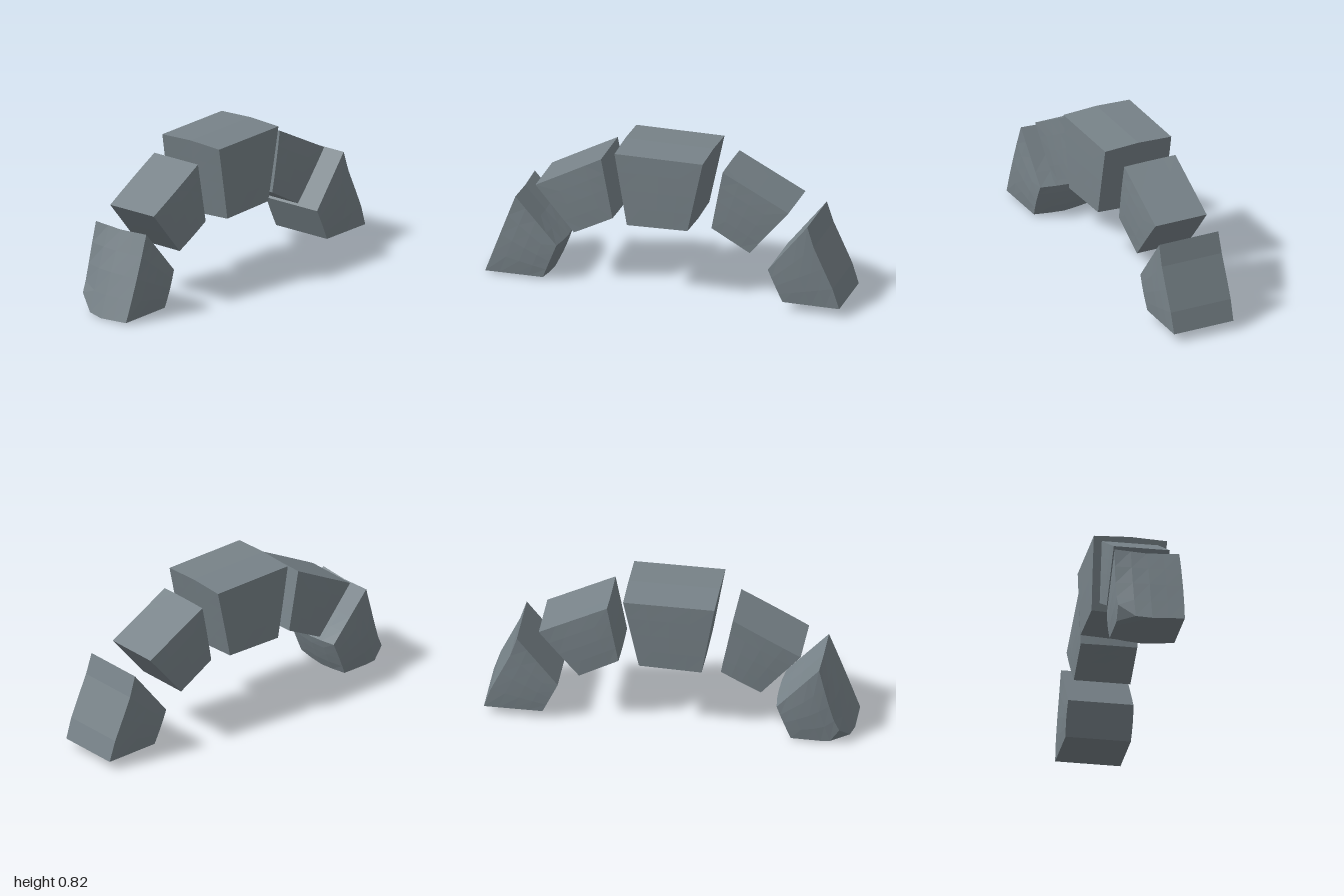
import * as THREE from 'three';

const material = new THREE.MeshStandardMaterial({ color: 0x778288, flatShading: true });

// Rough-hewn wedge. corners: [z, y] of topFront, bottomFront, bottomBack, topBack.
// x0..x1 is the width; shape swells, ridges or wears the faces.
function stone(name, corners, x0, x1, shape) {
  const [a, b, c, d] = corners;
  const { side = 0, top = 0, bottom = 0, front = 0, back = 0, bow = 0, chip = 0, lift = 0 } = shape;
  const geo = new THREE.BoxGeometry(2, 2, 2, 4, 4, 4);
  const pos = geo.attributes.position;
  const mix = THREE.MathUtils.lerp;
  for (let i = 0; i < pos.count; i++) {
    const u = pos.getX(i), v = pos.getY(i), w = pos.getZ(i);
    const s = (1 - v) / 2, t = (1 - w) / 2;
    const at = (k) => mix(mix(a[k], b[k], s), mix(d[k], c[k], s), t);
    const ridge = 1 - Math.abs(u), fu = 1 - u * u, fv = 1 - v * v, fw = 1 - w * w;
    const x = mix(x0, x1, (u + 1) / 2) + side * u * fv * (0.4 + 0.6 * fw);
    let y = at(1), z = at(0);
    // ridge along the top and bottom, swelling on the end faces
    y += ridge * (v > 0 ? top * v : bottom * v);
    z += fu * (0.6 + 0.4 * fv) * (w > 0 ? front * w : back * w);
    // hollow above and swelling below on the back face
    if (w < 0) z -= bow * w * Math.sin(Math.PI * v);
    // worn lower front corner on the right side
    if (u < 0 && w > 0) {
      z -= chip * u * u * w * s;
      y += lift * u ** 4 * w ** 4 * s ** 4;
    }
    pos.setXYZ(i, x, y, z);
  }
  const flat = geo.toNonIndexed();
  flat.computeVertexNormals();
  const mesh = new THREE.Mesh(flat, material);
  mesh.name = name;
  return mesh;
}

export function createModel() {
  const arch = new THREE.Group();
  arch.name = 'stoneArch';
  arch.add(
    stone('frontFootStone',
      [[0.83, 0.472], [1.0, 0.012], [0.675, 0.015], [0.598, 0.212]], -0.19, 0.165,
      { side: 0.012, top: -0.01, bottom: 0.011, back: -0.024 * -1, chip: 0.06, lift: 0.08 }),
    stone('frontUpperStone',
      [[0.357, 0.74], [0.727, 0.54], [0.51, 0.287], [0.292, 0.4]], -0.176, 0.131,
      { side: 0.006, back: 0.006 }),
    stone('keystone',
      [[0.26, 0.814], [0.19, 0.402], [-0.152, 0.412], [-0.238, 0.816]], -0.202, 0.198,
      { side: 0.002, top: 0.009, bottom: 0.01 }),
    stone('backUpperStone',
      [[-0.33, 0.752], [-0.267, 0.416], [-0.482, 0.297], [-0.702, 0.56]], -0.18, 0.13,
      { side: 0.006, front: 0.004 }),
    stone('backFootStone',
      [[-0.597, 0.23], [-0.68, 0.05], [-1.0, 0.05], [-0.82, 0.51]], -0.19, 0.168,
      { side: 0.008, bow: 0.008 }),
  );
  return arch;
}
